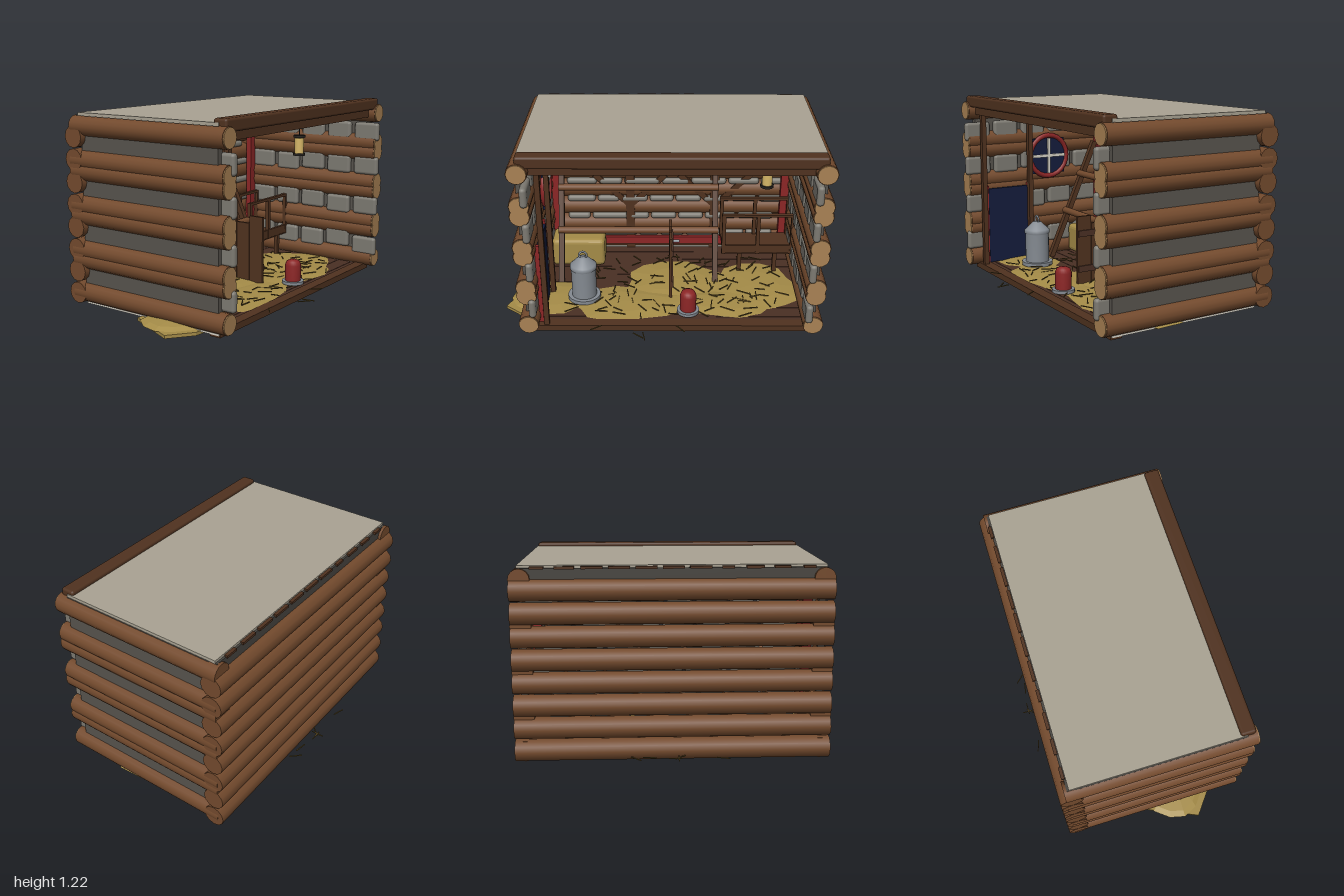
import * as THREE from 'three';
import { RoundedBoxGeometry } from 'three/addons/geometries/RoundedBoxGeometry.js';

const COLORS = {
  log: 0x734a2d, cut: 0xa98254, dark: 0x50321f, plank: 0x4a3024, wall: 0x57534d, stone: 0x7d7a72,
  roof: 0xaaa393, trim: 0x47443f, red: 0x8c2626, straw: 0xa58c48, twig: 0x5b4a22, navy: 0x141c3c,
  white: 0xd8d4c8, metal: 0x858b92, amber: 0xd8b868, black: 0x25221f,
};
const mats = {};
for (const k in COLORS) mats[k] = new THREE.MeshStandardMaterial({ color: COLORS[k] });
mats.straw.flatShading = true;

let seed = 7;
const rnd = (a, b) => {
  seed = (seed * 16807) % 2147483647;
  return a + (b - a) * (seed / 2147483647);
};

export function createModel() {
  const root = new THREE.Group();
  const group = (name) => {
    const g = new THREE.Group();
    g.name = name;
    root.add(g);
    return g;
  };
  const add = (parent, name, geo, mat, x, y, z) => {
    const m = new THREE.Mesh(geo, mats[mat]);
    m.name = name;
    m.position.set(x, y, z);
    parent.add(m);
    return m;
  };
  const box = (p, name, mat, w, h, d, x, y, z) => add(p, name, new THREE.BoxGeometry(w, h, d), mat, x, y, z);
  const cyl = (p, name, mat, r, h, x, y, z, n = 16) => add(p, name, new THREE.CylinderGeometry(r, r, h, n), mat, x, y, z);
  // Rod between two points
  const rod = (p, name, mat, r, a, b, n = 8) => {
    const A = new THREE.Vector3(...a), B = new THREE.Vector3(...b), d = B.clone().sub(A);
    const m = cyl(p, name, mat, r, d.length(), 0, 0, 0, n);
    m.position.copy(A).add(B).multiplyScalar(0.5);
    m.quaternion.setFromUnitVectors(new THREE.Vector3(0, 1, 0), d.normalize());
    return m;
  };
  const stone = (p, len, h, t, x, y, z, alongZ) => {
    const m = add(p, 'chinkStone', new RoundedBoxGeometry(len, h, t, 2, Math.min(h, t) * 0.45), 'stone', x, y, z);
    if (alongZ) m.rotation.y = Math.PI / 2;
  };

  // Side walls: logs running front to back, panel and stones between them
  const sideY = [0.105, 0.312, 0.37, 0.583, 0.645, 0.852, 0.917, 1.12];
  const gapY = [0.21, 0.475, 0.75, 0.985];
  for (const [name, x, inward] of [['leftWall', 0.93, -1], ['rightWall', -0.81, 1]]) {
    const g = group(name);
    for (const y of sideY) {
      rod(g, 'sideLog', 'log', 0.062, [x, y, -0.563], [x, y, 0.56], 16);
      rod(g, 'cutEnd', 'cut', 0.058, [x, y, 0.55], [x, y, 0.567], 16);
    }
    box(g, 'wallPanel', 'wall', 0.04, 1.13, 1.0, x, 0.615, 0.003);
    gapY.forEach((y) => {
      for (let i = 0; i < 5; i++) stone(g, 0.18, 0.125, 0.045, x + inward * 0.03, y + rnd(-0.02, 0.02), 0.495 - i * 0.21, true);
    });
    box(g, 'redCornerPost', 'red', 0.055, 1.05, 0.04, x + inward * 0.08, 0.575, -0.44);
  }

  // Back wall: stacked logs with stones and battens inside
  const back = group('backWall');
  for (let i = 0; i < 8; i++) {
    const y = 0.105 + i * 0.136;
    rod(back, 'backLog', 'log', 0.066, [-0.868, y, -0.533], [0.988, y, -0.533], 12);
    if (i < 7) {
      for (let x = -0.66; x < 0.8;) {
        const len = rnd(0.13, 0.26);
        stone(back, len, 0.045, 0.05, x + len / 2, y + 0.068, -0.49);
        x += len + 0.015;
      }
    }
  }
  for (const x of [-0.22, 0.37]) {
    box(back, 'batten', 'dark', 0.06, 1.05, 0.03, x, 0.58, -0.482);
    for (const s of [-1, 1]) {
      const b = box(back, 'brace', 'dark', 0.04, 0.32, 0.025, x + s * 0.13, 0.52, -0.482);
      b.rotation.z = -s * 0.8;
    }
  }
  box(back, 'redSkirting', 'red', 1.56, 0.055, 0.03, 0.06, 0.13, -0.45);

  // Roof
  const roof = group('roof');
  box(roof, 'roofPanel', 'roof', 1.77, 0.02, 1.035, 0.06, 1.188, -0.015);
  box(roof, 'roofBackTrim', 'trim', 1.77, 0.085, 0.03, 0.06, 1.14, -0.53);
  for (let i = 0; i < 11; i++) box(roof, 'roofBackChip', 'dark', rnd(0.06, 0.13), 0.015, 0.02, -0.72 + i * 0.155, 1.185, -0.545);
  add(roof, 'frontFascia', new RoundedBoxGeometry(1.76, 0.075, 0.09, 2, 0.015), 'dark', 0.06, 1.183, 0.507);
  box(roof, 'frontLintel', 'dark', 1.68, 0.06, 0.06, 0.06, 1.125, 0.485);

  // Floor planks and sill
  const floor = group('floor');
  for (let i = 0; i < 10; i++) box(floor, 'floorPlank', 'plank', 1.7, 0.03, 0.096, 0.06, 0.04, -0.45 + i * 0.1);
  for (const x of [-0.8, 0.92]) box(floor, 'floorEdge', 'white', 0.05, 0.025, 1.0, x, 0.045, 0);
  box(floor, 'backFloorEdge', 'white', 1.7, 0.025, 0.03, 0.06, 0.05, -0.49);
  box(floor, 'frontSill', 'dark', 1.76, 0.04, 0.07, 0.06, 0.04, 0.47);

  // Straw: flattened lumps and loose stalks
  const straw = group('straw');
  const lumps = [[0.62, 0.05, 0.34, 0.33], [0.1, -0.02, 0.4, 0.28], [-0.2, 0.25, 0.45, 0.22],
    [-0.68, 0.17, 0.3, 0.22], [0.4, 0.24, 0.42, 0.18]];
  lumps.forEach(([x, z, rx, rz], k) => {
    const geo = new THREE.SphereGeometry(1, 14, 6), p = geo.attributes.position;
    for (let i = 0; i < p.count; i++) {
      const a = Math.atan2(p.getZ(i), p.getX(i));
      const s = 1 + 0.09 * Math.sin(3 * a + k) + 0.06 * Math.sin(5 * a + 2 * k);
      p.setXYZ(i, p.getX(i) * s * rx, p.getY(i) * 0.035, p.getZ(i) * s * rz);
    }
    geo.computeVertexNormals();
    add(straw, 'strawLump', geo, 'straw', x, 0.038, z);
  });
  // Pointed spill under the right wall
  const spill = new THREE.Shape([[-1, 0.26], [-0.86, -0.06], [-0.6, 0], [-0.6, 0.4], [-0.86, 0.37]].map(([x, z]) => new THREE.Vector2(x, -z)));
  const spillMesh = add(straw, 'strawSpill', new THREE.ExtrudeGeometry(spill, { depth: 0.02, bevelEnabled: false }), 'straw', 0, 0.018, 0);
  spillMesh.rotation.x = -Math.PI / 2;
  const stalk = (x, z, a, len, y) => {
    box(straw, 'stalk', 'twig', len, 0.005, 0.006, x, y, z).rotation.y = a;
  };
  for (let i = 0; i < 130; i++) stalk(rnd(-0.6, 0.8), rnd(-0.3, 0.42), rnd(0, 3.1), rnd(0.05, 0.1), rnd(0.068, 0.08));
  const outside = [[-0.23, -0.642, -0.3], [0.03, -0.64, 1.57], [0.05, -0.64, 0], [0.02, -0.62, 0.8], [0.2, -0.62, -0.15],
    [0.28, -0.635, -0.8], [-0.14, 0.63, -0.7], [-0.105, 0.637, -1.4], [0.12, 0.56, -0.9], [-0.4, 0.55, 0.6]];
  for (const [x, z, a] of outside) stalk(x, z, a, 0.08, 0.076);

  // Hay bale
  add(root, 'hayBale', new RoundedBoxGeometry(0.36, 0.2, 0.2, 2, 0.03), 'straw', -0.57, 0.165, -0.29);

  // Entrance posts, dark doorway and window on the right wall
  const entry = group('entrance');
  box(entry, 'cornerPost', 'dark', 0.032, 1.05, 0.032, -0.71, 0.575, 0.48);
  box(entry, 'doorPost', 'dark', 0.032, 1.05, 0.032, -0.71, 0.575, 0.13);
  box(entry, 'doorway', 'navy', 0.02, 0.52, 0.3, -0.74, 0.32, 0.29);
  for (const z of [0.13, 0.45]) box(entry, 'doorFrame', 'red', 0.025, 0.54, 0.025, -0.745, 0.33, z);
  const win = group('window');
  box(win, 'windowPane', 'navy', 0.015, 0.25, 0.25, -0.738, 0.78, -0.03);
  box(win, 'windowBar', 'white', 0.02, 0.25, 0.02, -0.73, 0.78, -0.03);
  box(win, 'windowBar', 'white', 0.02, 0.02, 0.25, -0.73, 0.78, -0.03);
  add(win, 'windowRing', new THREE.TorusGeometry(0.145, 0.018, 8, 24), 'red', -0.735, 0.78, -0.03).rotation.y = Math.PI / 2;

  // Leaning perch ladder
  const perch = group('perch');
  for (const x of [-0.67, 0.36]) {
    const leg = box(perch, 'perchLeg', 'dark', 0.036, 0.89, 0.036, x, 0.46, -0.19);
    leg.rotation.x = -0.42;
  }
  rod(perch, 'perchRail', 'log', 0.024, [-0.69, 0.38, -0.14], [0.38, 0.38, -0.14], 12);
  rod(perch, 'perchRail', 'log', 0.024, [-0.69, 0.64, -0.26], [0.38, 0.64, -0.26], 12);

  // Half-height plank gate with handle
  const gate = group('gate');
  [0.44, 0.39, 0.42].forEach((h, i) => box(gate, 'gatePlank', 'dark', 0.018, h, 0.098, 0.06, 0.06 + h / 2, 0.15 - i * 0.102));
  for (const y of [0.16, 0.39]) box(gate, 'gateBatten', 'plank', 0.016, 0.04, 0.29, 0.07, y, 0.05);
  rod(gate, 'gateHandle', 'metal', 0.011, [0.06, 0.375, 0], [0.12, 0.375, 0]);

  // Turned vessels: profile of radius and height
  const vessel = (name, mat, pts, x, z) => add(root, name, new THREE.LatheGeometry(pts.map((p) => new THREE.Vector2(...p)), 24), mat, x, 0.065, z);
  cyl(root, 'drinkerTray', 'metal', 0.105, 0.025, -0.5, 0.08, 0.19, 24);
  vessel('drinker', 'metal', [[0.08, 0], [0.08, 0.22], [0.086, 0.225], [0.086, 0.245], [0.078, 0.25], [0.03, 0.3], [0, 0.302]], -0.5, 0.19);
  add(root, 'drinkerRing', new THREE.TorusGeometry(0.024, 0.007, 8, 16), 'metal', -0.5, 0.38, 0.19);
  cyl(root, 'feederTray', 'metal', 0.07, 0.02, 0.17, 0.078, 0.36, 24);
  vessel('feeder', 'red', [[0.05, 0], [0.052, 0.125], [0.042, 0.15], [0.02, 0.16], [0, 0.16]], 0.17, 0.36);

  // Raised nest box frame
  const nest = group('nestBox');
  box(nest, 'nestShelf', 'dark', 0.47, 0.02, 0.26, 0.65, 0.2, -0.28);
  box(nest, 'nestFrontBoard', 'dark', 0.47, 0.06, 0.02, 0.65, 0.23, -0.15);
  for (const z of [-0.15, -0.4]) {
    for (const x of [0.42, 0.65, 0.88]) box(nest, 'nestUpright', 'dark', 0.025, 0.29, 0.025, x, 0.34, z);
    box(nest, 'nestTopRail', 'dark', 0.49, 0.018, 0.025, 0.65, 0.485, z);
    for (const x of [0.53, 0.77]) box(nest, 'nestLeg', 'dark', 0.028, 0.15, 0.028, x, 0.125, z);
  }

  // Hanging lantern
  const lamp = group('lantern');
  cyl(lamp, 'lanternGlass', 'amber', 0.032, 0.11, 0.655, 0.89, 0.1);
  for (const y of [0.832, 0.957]) cyl(lamp, 'lanternCap', 'black', 0.042, 0.016, 0.655, y, 0.1);
  cyl(lamp, 'lanternWire', 'black', 0.004, 0.22, 0.655, 1.07, 0.1, 6);

  return root;
}
